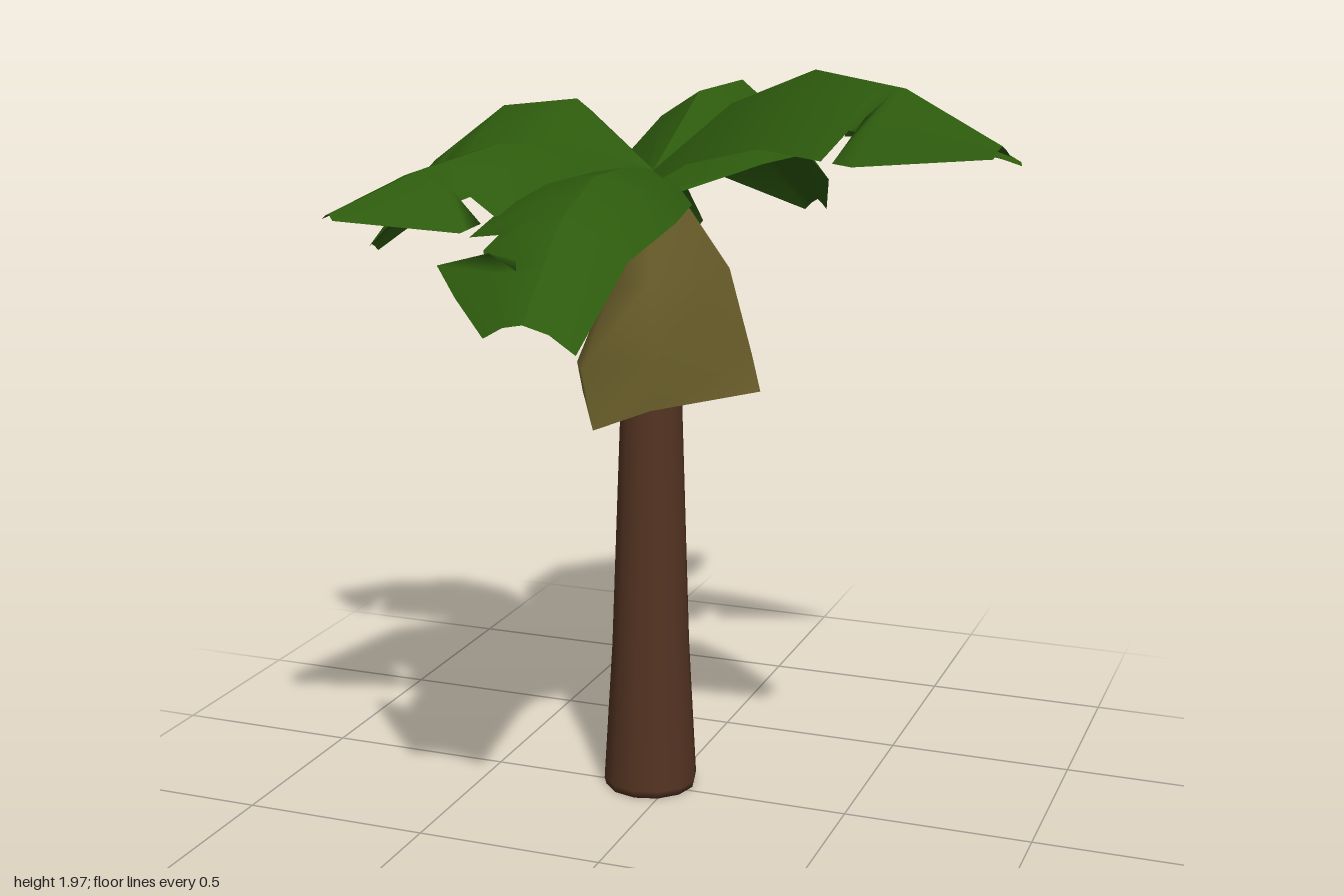
import * as THREE from 'three';

const leafGreen = new THREE.MeshStandardMaterial({ color: 0x2d5a0d, side: THREE.DoubleSide });
const trunkBrown = new THREE.MeshStandardMaterial({ color: 0x543422 });
const dryOlive = new THREE.MeshStandardMaterial({ color: 0x645928, side: THREE.DoubleSide });

const crown = new THREE.Vector3(-0.05, 1.68, -0.03);
const quarters = [0, 0.25, 0.5, 0.75, 1];

// Value at t (0..1) along five evenly spaced samples
function sample(list, t) {
  const i = Math.min(3, Math.floor(t * 4));
  return THREE.MathUtils.lerp(list[i], list[i + 1], t * 4 - i);
}

// Smooth sheet through rows of points
function sheet(rows) {
  const n = rows[0].length, index = [];
  for (let i = 0; i < rows.length - 1; i++) {
    for (let j = 0; j < n - 1; j++) {
      const a = i * n + j, b = a + n;
      index.push(a, b, a + 1, b, b + 1, a + 1);
    }
  }
  const geo = new THREE.BufferGeometry().setFromPoints(rows.flat());
  geo.setIndex(index);
  geo.computeVertexNormals();
  return geo;
}

// Blade outline as [t, width]; a tear cuts inward, then leaves a barb pointing back
function outline(widths, tear) {
  const out = (t) => [t, sample(widths, t)];
  if (!tear) return quarters.map(out);
  const [start, length] = tear, end = start + length;
  const cut = [start + length / 4, ...quarters.filter((t) => t > start + length / 4 && t < end), end];
  return [
    ...quarters.filter((t) => t < start).map(out), out(start),
    ...cut.map((t) => [t, 0.6 * sample(widths, t)]), out(start + length / 2), out(end),
    ...quarters.filter((t) => t > end).map(out),
  ];
}

// Frond from the crown to its tip: midrib heights at each quarter, and a sloping blade each side.
// A blade has widths at each quarter, a slope (fall per unit of width) and an optional tear.
function makeFrond(name, tip, ribHeights, leftBlade, rightBlade) {
  const frond = new THREE.Group();
  frond.name = name;
  const end = new THREE.Vector3(...tip);
  const heights = [crown.y, ...ribHeights, end.y];
  const heading = end.clone().sub(crown).setY(0).normalize();
  const rightward = new THREE.Vector3(-heading.z, 0, heading.x);
  const rib = (t) => crown.clone().lerp(end, t).setY(sample(heights, t));

  for (const [side, blade] of [[-1, leftBlade], [1, rightBlade]]) {
    let reached = 0;
    const rows = outline([0.06, ...blade.widths], blade.tear).map(([t, w]) => {
      reached = Math.max(reached, t);
      const inner = rib(reached);
      const edge = rib(t).addScaledVector(rightward, side * w);
      edge.y -= blade.slope * w;
      const middle = inner.clone().lerp(edge, 0.5);
      middle.y += 0.1 * w;
      return side < 0 ? [edge, middle, inner] : [inner, middle, edge];
    });
    const mesh = new THREE.Mesh(sheet(rows), leafGreen);
    mesh.name = side < 0 ? 'leftBlade' : 'rightBlade';
    frond.add(mesh);
  }
  return frond;
}

// Trunk, flared at the foot and leaning slightly back
function makeTrunk() {
  const profile = [[0, 0], [0.122, 0], [0.127, 0.02], [0.105, 0.4], [0.081, 1.1], [0.058, 1.55], [0.045, 1.63], [0, 1.63]];
  const geo = new THREE.LatheGeometry(profile.map(([r, y]) => new THREE.Vector2(r, y)), 12);
  geo.applyMatrix4(new THREE.Matrix4().makeShear(0, 0, 0, -0.012, 0, 0));
  const trunk = new THREE.Mesh(geo, trunkBrown);
  trunk.name = 'trunk';
  trunk.position.set(-0.06, 0, -0.025);
  return trunk;
}

// Dry leaf wrapped round the front of the trunk
function makeDryLeaf() {
  const rows = [
    [[-0.1, 1.65, -0.03], [-0.08, 1.65, 0], [-0.04, 1.65, 0], [0, 1.64, -0.05]],
    [[-0.16, 1.4, -0.01], [-0.1, 1.4, 0.14], [0.01, 1.42, 0.16], [0.14, 1.43, -0.08]],
    [[-0.2, 1.2, 0.13], [-0.15, 1.2, 0.22], [0.03, 1.22, 0.17], [0.21, 1.21, -0.06]],
    [[-0.16, 1.14, 0.19], [-0.1, 1.06, 0.27], [0.02, 1.1, 0.18], [0.24, 1.12, -0.04]],
  ];
  const leaf = new THREE.Mesh(sheet(rows.map((row) => row.map((p) => new THREE.Vector3(...p)))), dryOlive);
  leaf.name = 'dryLeaf';
  return leaf;
}

export function createModel() {
  const tree = new THREE.Group();
  tree.name = 'palmTree';
  tree.add(
    makeTrunk(),
    makeDryLeaf(),
    makeFrond('backFrond', [0.1, 1.48, -1], [1.86, 1.87, 1.72],
      { widths: [0.23, 0.26, 0.19, 0.04], slope: 0.82, tear: [0.56, 0.11] },
      { widths: [0.19, 0.2, 0.15, 0.03], slope: 0.95, tear: [0.51, 0.14] }),
    makeFrond('backLeftFrond', [0.83, 1.7, -0.36], [1.84, 1.91, 1.84],
      { widths: [0.16, 0.27, 0.15, 0.01], slope: 0.65, tear: [0.51, 0.06] },
      { widths: [0.15, 0.11, 0.07, 0.01], slope: 0.9, tear: [0.58, 0.12] }),
    makeFrond('leftFrond', [0.95, 1.84, 0.46], [1.87, 1.97, 1.945],
      { widths: [0.13, 0.15, 0.12, 0.03], slope: 0.85, tear: [0.54, 0.08] },
      { widths: [0.15, 0.19, 0.18, 0.03], slope: 0.9, tear: [0.67, 0.06] }),
    makeFrond('frontFrond', [0.04, 1.48, 1], [1.72, 1.73, 1.66],
      { widths: [0.17, 0.2, 0.16, 0.12], slope: 0.5 },
      { widths: [0.16, 0.23, 0.3, 0.09], slope: 0.38, tear: [0.62, 0.24] }),
    makeFrond('frontRightFrond', [-0.56, 1.65, 0.75], [1.76, 1.78, 1.73],
      { widths: [0.1, 0.18, 0.2, 0.02], slope: 0.6, tear: [0.64, 0.09] },
      { widths: [0.14, 0.17, 0.09, 0.03], slope: 0.45 }),
    makeFrond('rightFrond', [-0.96, 1.41, -0.2], [1.85, 1.82, 1.66],
      { widths: [0.19, 0.22, 0.17, 0.01], slope: 0.75, tear: [0.6, 0.08] },
      { widths: [0.13, 0.18, 0.12, 0.03], slope: 0.75, tear: [0.38, 0.06] }),
    makeFrond('droopingFrond', [-0.16, 1.36, -0.22], [1.64, 1.56, 1.46],
      { widths: [0.09, 0.11, 0.08, 0.02], slope: 0.2 },
      { widths: [0.1, 0.15, 0.1, 0.03], slope: 0.2 }),
  );
  return tree;
}
